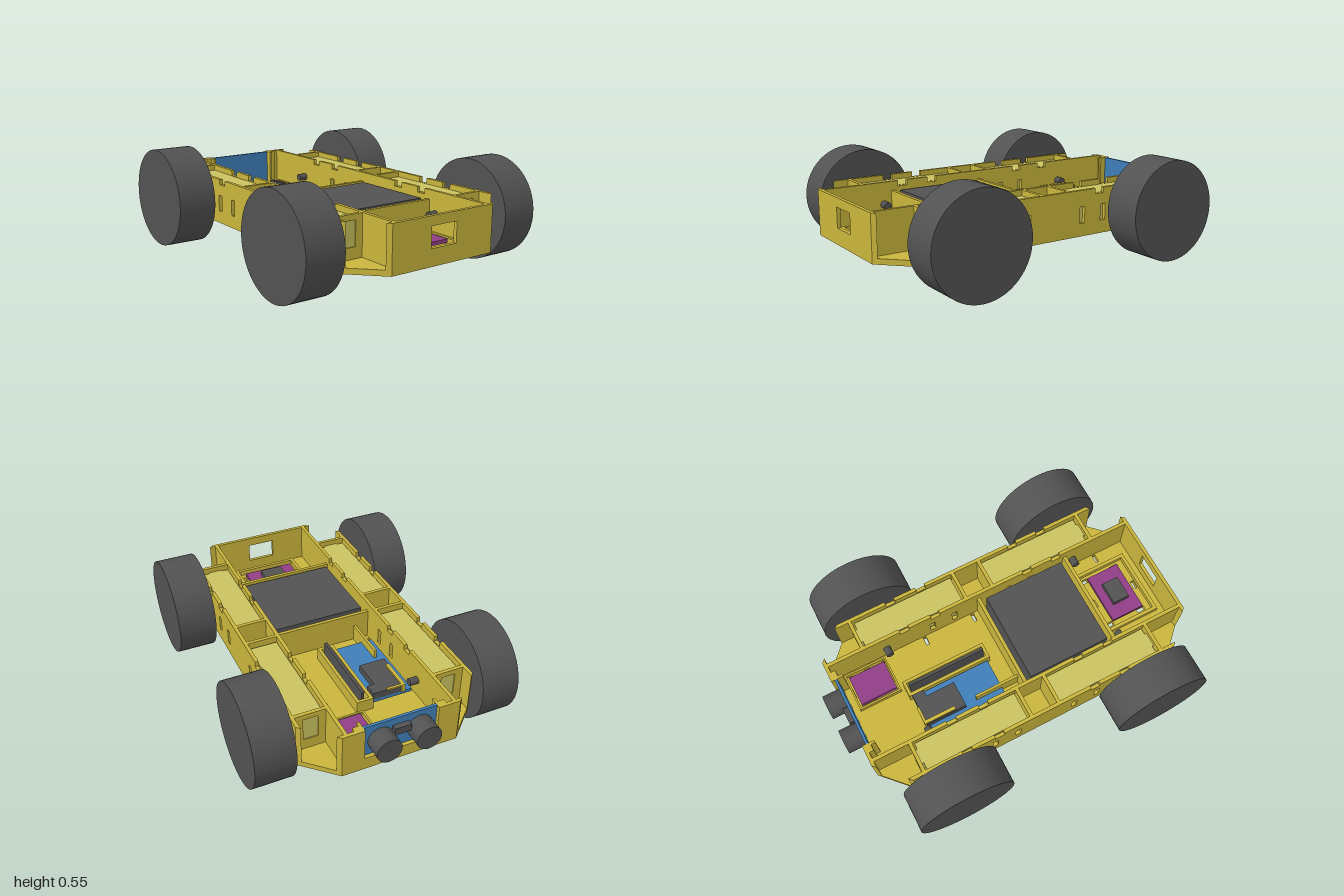
import * as THREE from 'three';

const mat = (name, color, double) => {
  const m = new THREE.MeshStandardMaterial({ color });
  m.name = name;
  return m;
};

export function createModel() {
  const yellow = mat('chassisYellow', 0xc9b53c);
  const pale = mat('motorPaleYellow', 0xcac260);
  const dark = mat('darkGrey', 0x525252);
  const blue = mat('boardBlue', 0x3f7fb8);
  const purple = mat('sensorPurple', 0x903f86);
  const root = new THREE.Group();
  root.name = 'roverCar';

  const add = (name, geo, m) => {
    const mesh = new THREE.Mesh(geo, m);
    mesh.name = name;
    root.add(mesh);
    return mesh;
  };
  // Box given by its limits on each axis
  const box = (name, m, x0, x1, y0, y1, z0, z1) => {
    const g = new THREE.BoxGeometry(x1 - x0, y1 - y0, z1 - z0);
    g.translate((x0 + x1) / 2, (y0 + y1) / 2, (z0 + z1) / 2);
    return add(name, g, m);
  };
  const rod = (name, m, r, len, axis, x, y, z) => {
    const g = new THREE.CylinderGeometry(r, r, len, 56);
    if (axis === 'x') g.rotateZ(Math.PI / 2); else g.rotateX(Math.PI / 2);
    g.translate(x, y, z);
    return add(name, g, m);
  };
  const poly = (pts) => new THREE.Shape(pts.map(([a, b]) => new THREE.Vector2(a, b)));
  const cut = (shape, a0, a1, b0, b1) => shape.holes.push(
    new THREE.Path([[a0, b0], [a0, b1], [a1, b1], [a1, b0]].map(([a, b]) => new THREE.Vector2(a, b))));
  const extrude = (shape, depth) => new THREE.ExtrudeGeometry(shape, { depth, bevelEnabled: false });
  // Shift matching vertices, used to mitre the wall ends
  const shift = (geo, rule) => {
    const p = geo.attributes.position;
    for (let i = 0; i < p.count; i++) {
      const [x, y, z] = rule(p.getX(i), p.getY(i), p.getZ(i));
      p.setXYZ(i, x, y, z);
    }
    geo.computeVertexNormals();
    return geo;
  };

  // Octagonal floor with slots; shape y is -z
  const floor = poly([[-0.32, -1], [0.32, -1], [0.49, -0.83], [0.49, 0.76], [0.32, 0.92],
    [-0.32, 0.92], [-0.49, 0.76], [-0.49, -0.83]]);
  const slot = (x, z, w, d) => cut(floor, x - w / 2, x + w / 2, -z - d / 2, -z + d / 2);
  for (const s of [-1, 1]) {
    for (const z of [-0.34, -0.03, 0.79]) slot(s * 0.255, z, 0.05, 0.018);
    for (const z of [-0.46, -0.22, 0.28, 0.53]) slot(s * 0.39, z, 0.018, 0.05);
    for (const z of [0.65, 0.86]) slot(s * 0.153, z, 0.025, 0.05);
  }
  for (const z of [0.64, 0.905]) slot(0, z, 0.05, 0.02);
  slot(0.035, -0.32, 0.05, 0.46);
  slot(-0.15, -0.32, 0.04, 0.4);
  slot(0.0625, -0.72, 0.014, 0.22);
  slot(0.2515, -0.72, 0.014, 0.22);
  slot(0, 0.77, 0.12, 0.09);
  const floorGeo = extrude(floor, 0.03);
  floorGeo.rotateX(-Math.PI / 2);
  floorGeo.translate(0, 0.15, 0);
  add('floor', floorGeo, yellow);

  // Front wall with window, ends mitred
  const front = poly([[-0.32, 0.18], [0.32, 0.18], [0.32, 0.4], [-0.32, 0.4]]);
  cut(front, -0.08, 0.08, 0.24, 0.35);
  const frontGeo = extrude(front, 0.02);
  frontGeo.translate(0, 0, 0.98);
  add('frontWall', shift(frontGeo, (x, y, z) =>
    [Math.abs(x) > 0.3 && z < 0.99 ? Math.sign(x) * 0.34 : x, y, z]), yellow);

  // Back wall, open in the middle for the distance sensor
  const back = poly([[-0.32, 0.18], [0.32, 0.18], [0.32, 0.4], [0.2, 0.4], [0.2, 0.22],
    [-0.2, 0.22], [-0.2, 0.4], [-0.32, 0.4]]);
  const backGeo = extrude(back, 0.02);
  backGeo.translate(0, 0, -0.92);
  add('backWall', shift(backGeo, (x, y, z) =>
    [Math.abs(x) > 0.3 && z > -0.91 ? Math.sign(x) * 0.34 : x, y, z]), yellow);

  // Long walls with notches in the top edge and clip slots; shape x is z
  const longWall = (z0, z1) => {
    const pts = [[z0, 0.18], [z1, 0.18], [z1, 0.4]];
    for (const c of [0.52, 0.335, -0.25, -0.44])
      pts.push([c + 0.028, 0.4], [c + 0.028, 0.37], [c - 0.028, 0.37], [c - 0.028, 0.4]);
    pts.push([z0, 0.4]);
    const s = poly(pts);
    for (const c of [0.358, 0.215, -0.135, -0.275]) cut(s, c - 0.016, c + 0.016, 0.22, 0.31);
    const g = extrude(s, 0.02);
    g.rotateY(-Math.PI / 2);
    return g;
  };

  for (const s of [-1, 1]) {
    const side = s > 0 ? 'left' : 'right';
    const outer = longWall(-0.76, 0.83);
    outer.translate(s > 0 ? 0.49 : -0.47, 0, 0);
    add(side + 'OuterWall', shift(outer, (x, y, z) => {
      const inner = Math.abs(x) < 0.48;
      return [x, y, inner && z > 0.82 ? 0.85 : inner && z < -0.75 ? -0.78 : z];
    }), yellow);
    const inner = longWall(-0.9, 0.98);
    inner.translate(s > 0 ? 0.305 : -0.285, 0, 0);
    add(side + 'InnerWall', inner, yellow);

    const span = (a, b) => (s > 0 ? [a, b] : [-b, -a]);
    const [p0, p1] = span(0.305, 0.47);
    // Cross walls between the motor bays
    for (const z of [-0.06, 0.105])
      box(side + 'BayDivider', yellow, p0, p1, 0.18, 0.4, z, z + 0.02);
    // End walls with a window for the motor tail
    for (const z of [-0.7, 0.745]) {
      const w = poly([[p0, 0.18], [p1, 0.18], [p1, 0.4], [p0, 0.4]]);
      const [h0, h1] = span(0.345, 0.425);
      cut(w, h0, h1, 0.24, 0.37);
      const g = extrude(w, 0.02);
      g.translate(0, 0, z);
      add(side + 'BayEndWall', g, yellow);
    }

    // Motors, axles and wheels
    for (const [end, z, m0, m1, t0, t1] of [
      ['Front', 0.637, 0.13, 0.735, 0.735, 0.76],
      ['Back', -0.565, -0.67, -0.07, -0.695, -0.67]]) {
      const [a0, a1] = span(0.31, 0.465);
      box(side + end + 'Motor', pale, a0, a1, 0.185, 0.37, m0, m1);
      const [b0, b1] = span(0.345, 0.425);
      box(side + end + 'MotorTail', pale, b0, b1, 0.24, 0.369, t0, t1);
      rod(side + end + 'Axle', dark, 0.021, 0.3, 'x', s * 0.385, 0.276, z);
      rod(side + end + 'Wheel', dark, 0.275, 0.215, 'x', s * 0.6225, 0.275, z);
    }
    // Posts beside the distance sensor
    box(side + 'SensorPost', yellow, ...span(0.2, 0.25), 0.18, 0.4, -0.9, -0.875);
    box(side + 'SensorPostRib', yellow, ...span(0.2, 0.215), 0.18, 0.4, -0.875, -0.85);
  }

  // Battery bay
  box('batteryBackWall', yellow, -0.285, 0.285, 0.18, 0.35, 0.01, 0.03);
  box('batteryFrontWall', yellow, -0.285, 0.285, 0.18, 0.35, 0.57, 0.59);
  box('battery', dark, -0.265, 0.265, 0.18, 0.35, 0.06, 0.545);

  // Low rectangular frame standing on the floor
  const frame = (name, x0, x1, z0, z1, t, top) => {
    const s = poly([[x0, -z1], [x1, -z1], [x1, -z0], [x0, -z0]]);
    cut(s, x0 + t, x1 - t, -z1 + t, -z0 - t);
    const g = extrude(s, top - 0.18);
    g.rotateX(-Math.PI / 2);
    g.translate(0, 0.18, 0);
    add(name, g, yellow);
  };

  // Front sensor in its frame
  frame('frontSensorFrame', -0.2, 0.2, 0.6, 0.94, 0.02, 0.21);
  box('frontSensorBoard', purple, -0.15, 0.15, 0.2, 0.22, 0.67, 0.87);
  box('frontSensorChip', dark, -0.067, 0.067, 0.22, 0.25, 0.72, 0.82);

  // Rear module in its frame
  frame('rearModuleFrame', 0.045, 0.27, -0.85, -0.595, 0.011, 0.21);
  box('rearModule', purple, 0.07, 0.244, 0.18, 0.21, -0.83, -0.612);

  // Control board with stacked module and clips
  box('controlBoard', blue, -0.26, -0.03, 0.205, 0.225, -0.56, -0.09);
  box('controlModule', dark, -0.22, -0.07, 0.225, 0.265, -0.56, -0.32);
  box('controlModuleStep', dark, -0.07, -0.03, 0.225, 0.265, -0.56, -0.49);
  box('boardClipBack', yellow, -0.215, -0.195, 0.225, 0.275, -0.57, -0.38);
  box('boardClipBackArm', yellow, -0.195, -0.11, 0.265, 0.275, -0.57, -0.555);
  box('boardClipFront', yellow, -0.21, -0.195, 0.18, 0.275, -0.25, 0.01);

  // Upright card in a slotted holder
  frame('cardHolder', -0.025, 0.07, -0.575, -0.07, 0.018, 0.25);
  box('uprightCard', dark, 0.018, 0.034, 0.17, 0.29, -0.55, -0.09);

  // Distance sensor at the back
  box('distanceSensorBoard', blue, -0.2, 0.2, 0.2, 0.4, -0.9, -0.885);
  box('distanceSensorCrystal', dark, -0.045, 0.045, 0.32, 0.36, -0.93, -0.9);
  for (const s of [-1, 1])
    rod('distanceSensorEye', dark, 0.068, 0.1, 'z', s * 0.108, 0.302, -0.95);

  return root;
}
